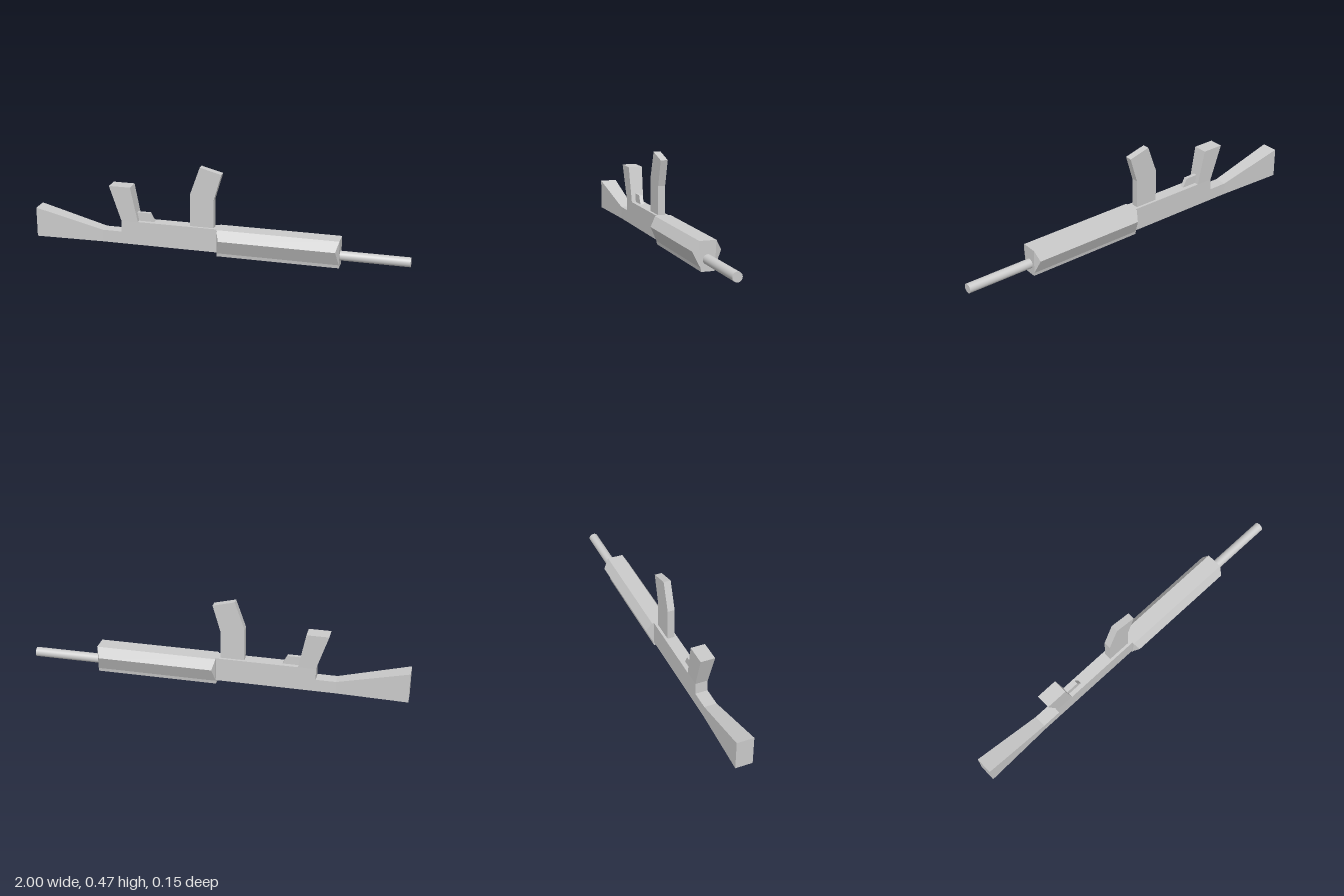
import * as THREE from 'three';

const flat = new THREE.MeshStandardMaterial({ color: 0xcccccc, flatShading: true });
const smooth = new THREE.MeshStandardMaterial({ color: 0xcccccc });

// Side profile given thickness along z; halfWidth(x, y) may vary over the profile.
function slab(name, points, halfWidth) {
  const shape = new THREE.Shape(points.map(([x, y]) => new THREE.Vector2(x, y)));
  const geo = new THREE.ExtrudeGeometry(shape, { depth: 2, bevelEnabled: false });
  geo.translate(0, 0, -1);
  const p = geo.attributes.position;
  for (let i = 0; i < p.count; i++) p.setZ(i, p.getZ(i) * halfWidth(p.getX(i), p.getY(i)));
  geo.computeVertexNormals();
  const mesh = new THREE.Mesh(geo, flat);
  mesh.name = name;
  return mesh;
}

// Faceted fore-end: eight-point section whose side ridges are drawn in at both ends.
function handguard() {
  const half = [[0.033, 0], [0.036, 0.018], [0.073, 0.097], [0.043, 0.149]];
  const ring = [...half, ...half.slice().reverse().map(([z, y]) => [-z, y])];
  const n = ring.length;
  const positions = [];
  for (const [x, inset] of [[0, 0.016], [0.642, -0.016]]) {
    ring.forEach(([z, y], i) => positions.push(x + (i === 2 || i === 5 ? inset : 0), y, z));
  }
  const index = [];
  for (let i = 0; i < n; i++) {
    const j = (i + 1) % n;
    index.push(i, i + n, j + n, i, j + n, j);
  }
  const cap = [[1, 2, 3], [4, 5, 6], [1, 3, 4], [1, 4, 6], [0, 1, 6], [0, 6, 7]];
  for (const [a, b, c] of cap) index.push(a, b, c, a + n, c + n, b + n);
  const geo = new THREE.BufferGeometry();
  geo.setAttribute('position', new THREE.Float32BufferAttribute(positions, 3));
  geo.setIndex(index);
  geo.computeVertexNormals();
  const mesh = new THREE.Mesh(geo, flat);
  mesh.name = 'handguard';
  return mesh;
}

export function createModel() {
  const group = new THREE.Group();
  group.name = 'rifle';
  const bodyHalf = 0.033;

  // Stock widens towards the butt
  group.add(slab('stock',
    [[-1, 0.021], [-0.628, 0.021], [-0.628, 0.087], [-1, 0.182]],
    (x) => THREE.MathUtils.mapLinear(x, -1, -0.628, 0.045, bodyHalf)));

  // Receiver with the low neck behind the grip
  group.add(slab('receiver',
    [[-0.628, 0.021], [0, 0.021], [0, 0.149], [-0.522, 0.149], [-0.524, 0.087], [-0.628, 0.087]],
    () => bodyHalf));

  // Grip flares slightly to its end
  group.add(slab('grip',
    [[-0.522, 0.149], [-0.43, 0.149], [-0.468, 0.338], [-0.584, 0.338]],
    (x, y) => THREE.MathUtils.mapLinear(y, 0.149, 0.338, bodyHalf, 0.038)));

  group.add(slab('trigger',
    [[-0.44, 0.149], [-0.346, 0.149], [-0.37, 0.195], [-0.44, 0.195]],
    () => 0.01));

  group.add(slab('magazine',
    [[-0.147, 0.149], [-0.02, 0.149], [-0.02, 0.302], [0.021, 0.442], [-0.094, 0.472], [-0.147, 0.323]],
    () => 0.019));

  group.add(handguard());

  // Barrel
  const barrel = new THREE.Mesh(new THREE.CylinderGeometry(0.025, 0.025, 0.36, 32), smooth);
  barrel.name = 'barrel';
  barrel.rotation.z = -Math.PI / 2;
  barrel.position.set(0.82, 0.058, 0);
  group.add(barrel);

  return group;
}
